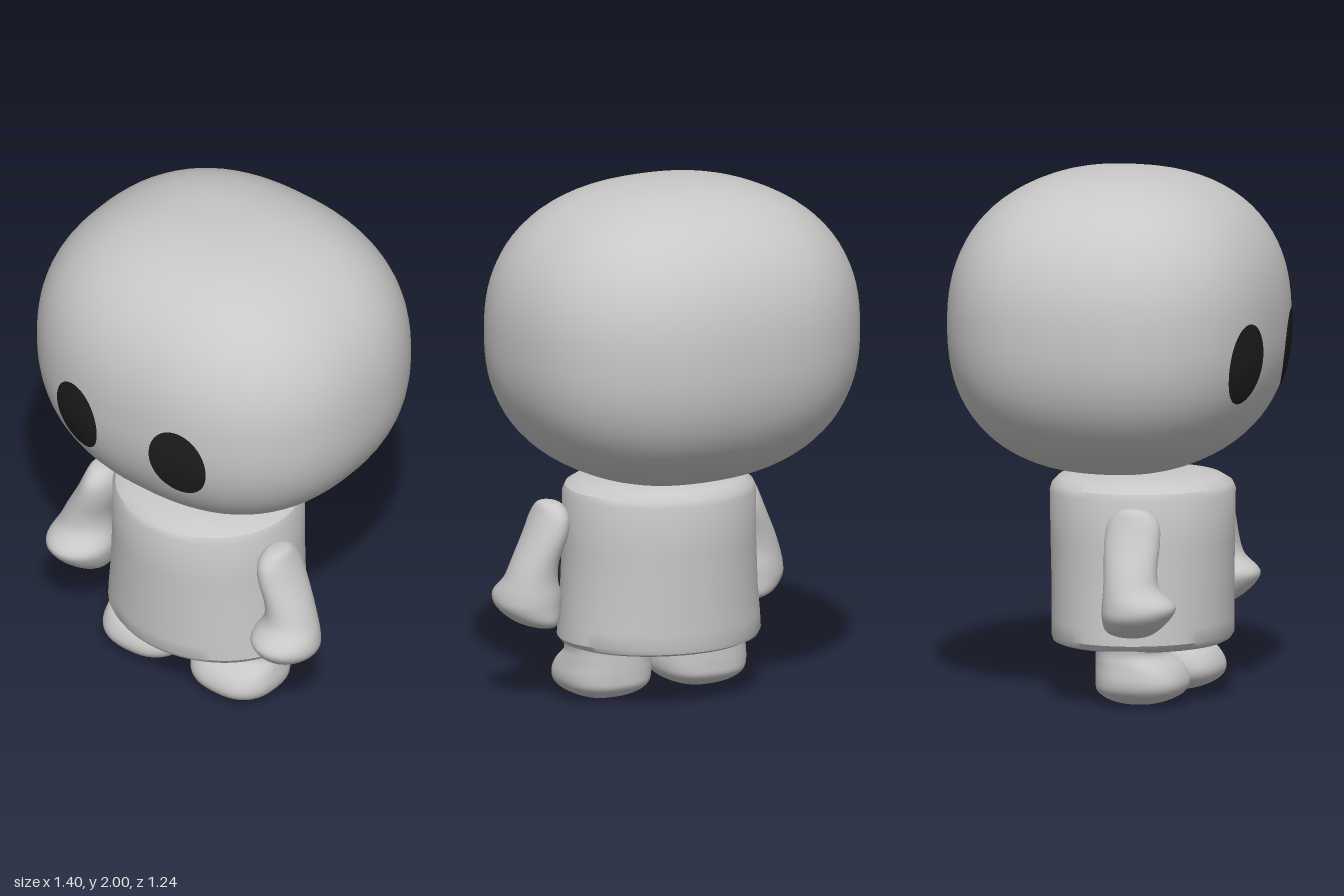
import * as THREE from 'three';
import { mergeVertices, toCreasedNormals } from 'three/addons/utils/BufferGeometryUtils.js';

const HEAD = { x: 0.7, y: 0.575, z: 0.618, cy: 1.425, p: 2.35 };

// Closed skin over rings listed top to bottom as [y, centreX, centreZ, radiusX, radiusZ]
function loft(rings, { side = 1, power = 2, smooth = 1, segments = 40 } = {}) {
  const centres = new THREE.CatmullRomCurve3(rings.map(r => new THREE.Vector3(r[1] * side, r[0], r[2])), false, 'catmullrom', 0.5);
  const radii = new THREE.CatmullRomCurve3(rings.map(r => new THREE.Vector3(r[3], r[4], 0)), false, 'catmullrom', 0.5);
  const steps = (rings.length - 1) * smooth;
  const pos = [], index = [];
  const bend = v => Math.sign(v) * Math.abs(v) ** (2 / power);
  for (let i = 0; i <= steps; i++) {
    const c = centres.getPoint(i / steps), r = radii.getPoint(i / steps);
    for (let j = 0; j < segments; j++) {
      const a = (j / segments) * Math.PI * 2;
      pos.push(c.x + bend(Math.cos(a)) * Math.max(r.x, 0), c.y, c.z + bend(Math.sin(a)) * Math.max(r.y, 0));
      if (i === steps) continue;
      const k = (j + 1) % segments, p = i * segments, q = p + segments;
      index.push(p + j, p + k, q + j, p + k, q + k, q + j);
    }
  }
  const geo = new THREE.BufferGeometry();
  geo.setAttribute('position', new THREE.Float32BufferAttribute(pos, 3));
  geo.setIndex(index);
  geo.computeVertexNormals();
  return geo;
}

// Rounded-box head: a sphere pushed out to a superellipsoid
function headGeometry() {
  const { p } = HEAD;
  let geo = new THREE.SphereGeometry(1, 72, 48);
  geo.deleteAttribute('uv');
  geo.deleteAttribute('normal');
  geo = mergeVertices(geo, 1e-5);
  const pos = geo.attributes.position, v = new THREE.Vector3();
  for (let i = 0; i < pos.count; i++) {
    v.fromBufferAttribute(pos, i);
    const s = (Math.abs(v.x) ** p + Math.abs(v.y) ** p + Math.abs(v.z) ** p) ** (-1 / p);
    pos.setXYZ(i, v.x * s * HEAD.x, v.y * s * HEAD.y + HEAD.cy, v.z * s * HEAD.z);
  }
  geo.computeVertexNormals();
  return geo;
}

// Oval eye laid onto the front of the head
function eyeGeometry(side) {
  const geo = new THREE.RingGeometry(0, 1, 48, 8);
  const pos = geo.attributes.position;
  for (let i = 0; i < pos.count; i++) {
    const x = 0.24 * side + pos.getX(i) * 0.115, y = 1.315 + pos.getY(i) * 0.152;
    const rest = 1 - Math.abs(x / HEAD.x) ** HEAD.p - Math.abs((y - HEAD.cy) / HEAD.y) ** HEAD.p;
    pos.setXYZ(i, x, y, HEAD.z * rest ** (1 / HEAD.p) + 0.005);
  }
  geo.computeVertexNormals();
  return geo;
}

export function createModel() {
  const group = new THREE.Group();
  const grey = new THREE.MeshStandardMaterial({ name: 'light grey', color: 0xc8c8c6 });
  const black = new THREE.MeshStandardMaterial({ name: 'eye black', color: 0x1e1e1e });
  const add = (name, geo, mat) => {
    const mesh = new THREE.Mesh(geo, mat);
    mesh.name = name;
    group.add(mesh);
  };

  add('head', headGeometry(), grey);

  // Barrel body with sloped shoulders and a flat underside
  const body = loft([
    [0.86, 0, 0.07, 0, 0],
    [0.858, 0, 0.075, 0.22, 0.23],
    [0.84, 0, 0.085, 0.32, 0.305],
    [0.815, 0, 0.092, 0.36, 0.337],
    [0.79, 0, 0.093, 0.37, 0.347],
    [0.6, 0, 0.093, 0.373, 0.343],
    [0.42, 0, 0.094, 0.383, 0.338],
    [0.3, 0, 0.094, 0.396, 0.337],
    [0.245, 0, 0.094, 0.4, 0.336],
    [0.225, 0, 0.09, 0.385, 0.328],
    [0.215, 0, 0.09, 0.355, 0.31],
    [0.215, 0, 0.09, 0, 0],
  ], { segments: 64 });
  add('body', toCreasedNormals(body, 0.6), grey);

  for (const side of [1, -1]) {
    const label = side > 0 ? 'left' : 'right';
    add(label + 'Eye', eyeGeometry(side), black);

    // Arm ending in a mitten hand that bulges forward
    add(label + 'Arm', loft([
      [0.775, 0.425, 0.2, 0, 0],
      [0.765, 0.42, 0.2, 0.04, 0.055],
      [0.72, 0.418, 0.2, 0.062, 0.098],
      [0.65, 0.435, 0.2, 0.075, 0.108],
      [0.55, 0.475, 0.207, 0.085, 0.102],
      [0.48, 0.49, 0.217, 0.1, 0.108],
      [0.42, 0.49, 0.245, 0.125, 0.14],
      [0.37, 0.49, 0.235, 0.12, 0.13],
      [0.32, 0.473, 0.21, 0.085, 0.1],
      [0.295, 0.45, 0.2, 0.045, 0.06],
      [0.285, 0.445, 0.2, 0, 0],
    ], { side, smooth: 4 }), grey);

    // Stubby leg with a rounded foot
    add(label + 'Leg', loft([
      [0.27, 0.21, 0.125, 0, 0],
      [0.26, 0.21, 0.125, 0.155, 0.125],
      [0.2, 0.21, 0.122, 0.165, 0.125],
      [0.15, 0.21, 0.152, 0.174, 0.157],
      [0.1, 0.21, 0.165, 0.18, 0.17],
      [0.06, 0.21, 0.163, 0.168, 0.163],
      [0.03, 0.21, 0.16, 0.13, 0.125],
      [0.01, 0.21, 0.155, 0.07, 0.065],
      [0.003, 0.21, 0.155, 0, 0],
    ], { side, power: 2.5, smooth: 4 }), grey);
  }
  return group;
}
